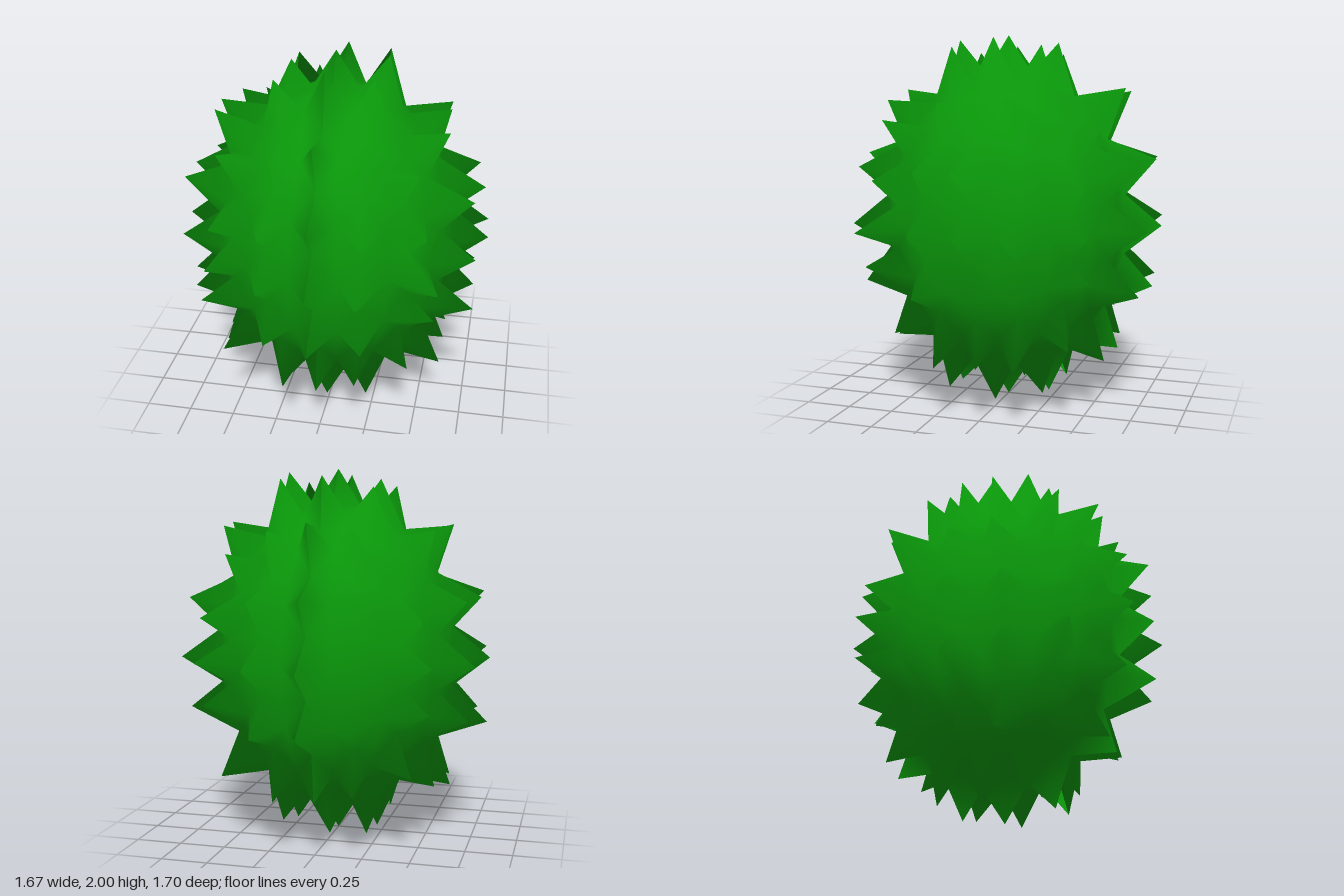
import * as THREE from 'three';
import { mergeVertices } from 'three/addons/utils/BufferGeometryUtils.js';

const RADII = new THREE.Vector3(0.65, 0.815, 0.665);  // body radii
const SPIKE = 0.185;             // spike length
const N = 8;                     // grid cells per cube side (a spike on every other point)
const DEG = Math.PI / 180;

// Repeatable value in -1..1 from a direction
function noise(d, k) {
  const s = Math.sin(Math.round(d.x * 100) * 12.99 + Math.round(d.y * 100) * 78.23
    + Math.round(d.z * 100) * 37.72 + k * 9.17) * 43758.5453;
  return (s - Math.floor(s)) * 2 - 1;
}

// Direction on a cube side, spaced by equal angles
function direction(axis, sign, a, b) {
  const c = [0, 0, 0];
  c[axis] = sign;
  c[(axis + 1) % 3] = sign * Math.tan(a * DEG);
  c[(axis + 2) % 3] = Math.tan(b * DEG);
  return new THREE.Vector3(...c).normalize();
}

// Point of the surface: valley on the body, or tip of a spike
function surfacePoint(axis, sign, i, j) {
  const isTip = i % 2 === 0 && j % 2 === 0;
  const angle = (n) => {
    const m = n - N / 2;
    return isTip && Math.abs(m) === 2 ? Math.sign(m) * 18.5 : m * 90 / N;
  };
  const d = direction(axis, sign, angle(i), angle(j));
  const p = d.clone().multiply(RADII);
  if (!isTip) return p;
  // Spikes on the cube edges lean with the body's normal, the others point straight out
  const onEdge = i % N === 0 || j % N === 0;
  const out = (onEdge ? d.clone().divide(RADII) : p.clone()).normalize();
  const onAxis = i === N / 2 && j === N / 2;
  p.addScaledVector(out, onAxis ? SPIKE : SPIKE + 0.01);
  // Slightly uneven tips, except the ones on the axes
  if (!onAxis) p.add(new THREE.Vector3(noise(d, 1), noise(d, 2), noise(d, 3)).multiplyScalar(0.03));
  return p;
}

// One half of the body; side is +1 for left (+x) and -1 for right
function halfGeometry(side) {
  const pos = [];
  const addTriangle = (a, b, c) => {
    if ((a.x + b.x + c.x) * side > 0) for (const v of [a, b, c]) pos.push(v.x, v.y, v.z);
  };
  for (let axis = 0; axis < 3; axis++) for (const sign of [1, -1]) {
    for (let i = 0; i < N; i++) for (let j = 0; j < N; j++) {
      const at = (u, v) => surfacePoint(axis, sign, u, v);
      const a = at(i, j), b = at(i + 1, j), c = at(i + 1, j + 1), d = at(i, j + 1);
      // The diagonal joins two valley points, so each spike is a four-sided pyramid
      if ((i + j) % 2 === 0) {
        addTriangle(a, b, d);
        addTriangle(b, c, d);
      } else {
        addTriangle(a, b, c);
        addTriangle(a, c, d);
      }
    }
  }
  let geo = new THREE.BufferGeometry();
  geo.setAttribute('position', new THREE.Float32BufferAttribute(pos, 3));
  geo = mergeVertices(geo, 1e-4);
  geo.computeVertexNormals();
  return geo;
}

export function createModel() {
  const group = new THREE.Group();
  group.name = 'spikyBall';
  const green = new THREE.MeshStandardMaterial({ color: 0x0a960a, side: THREE.DoubleSide });
  for (const [name, side] of [['leftHalf', 1], ['rightHalf', -1]]) {
    const mesh = new THREE.Mesh(halfGeometry(side), green);
    mesh.name = name;
    mesh.position.y = 1;
    group.add(mesh);
  }
  return group;
}
